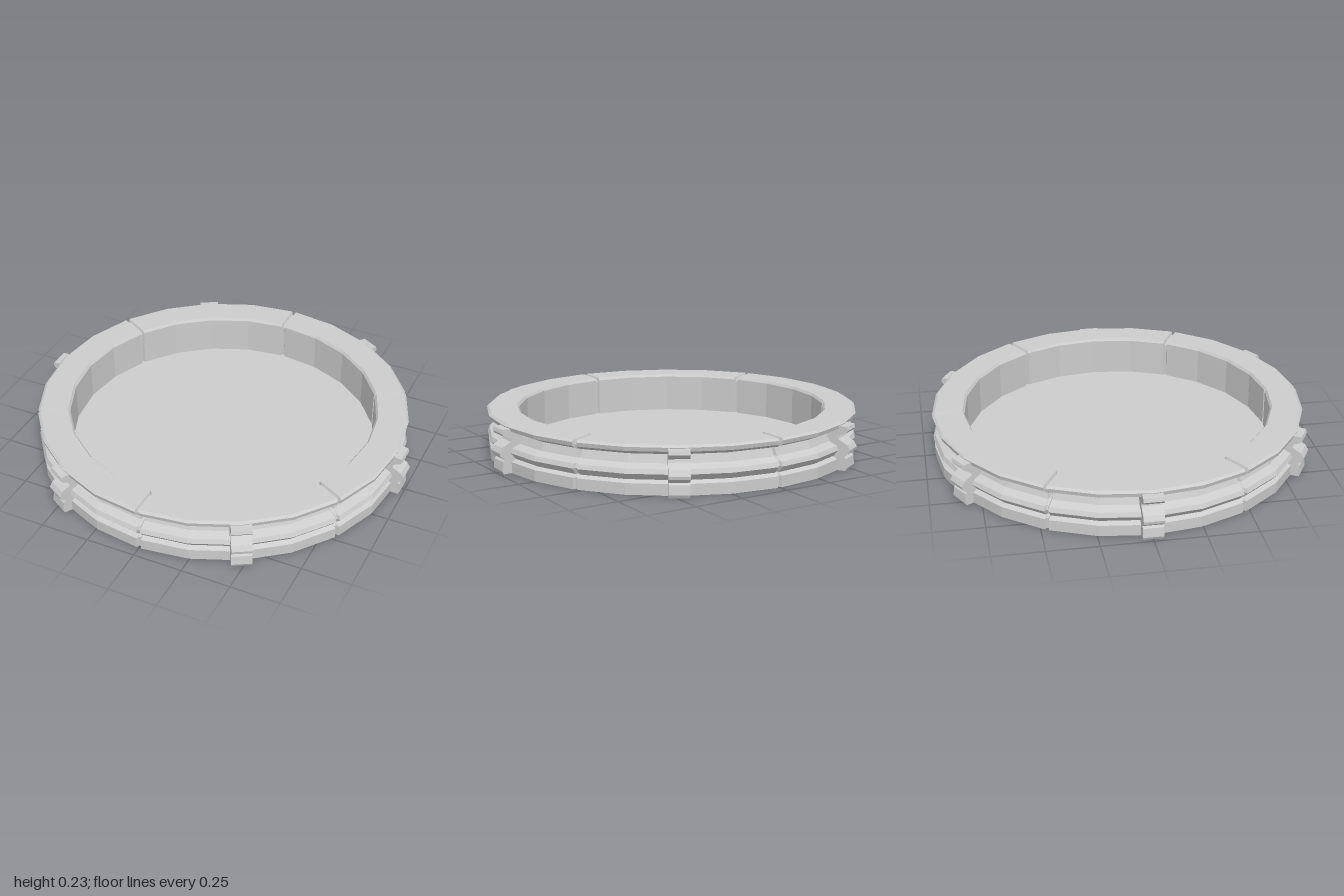
import * as THREE from 'three';

const material = new THREE.MeshStandardMaterial({ color: 0xcccccc, flatShading: true, side: THREE.DoubleSide });
const rad = THREE.MathUtils.degToRad;
const FLOOR_Y = 0.03;

// Ring section [radius, y], from the outer foot over the rim to the inner wall
const section = [
  [0.945, 0], [0.945, 0.055], [0.922, 0.068], [0.95, 0.1], [0.94, 0.122], [0.9, 0.14],
  [0.885, 0.18], [0.945, 0.205], [0.95, 0.225], [0.938, 0.235],
  [0.795, 0.235], [0.785, 0.222], [0.785, FLOOR_Y],
];
// Same section pulled in on all sides, used at the bottom of each joint groove
const grooveSection = section.map(([r, y], i) => [
  r + (i < 10 ? -0.016 : 0.012),
  y > 0.2 ? y - 0.013 : y,
]);

// Joins cross-sections placed around the y axis
function loft(stations) {
  const positions = [], index = [], n = section.length;
  for (const { angle, profile } of stations) {
    for (const [r, y] of profile) positions.push(r * Math.cos(angle), y, -r * Math.sin(angle));
  }
  for (let s = 0; s < stations.length - 1; s++) {
    for (let i = 0; i < n - 1; i++) {
      const a = s * n + i, b = a + n;
      index.push(a, b, a + 1, b, b + 1, a + 1);
    }
  }
  const geometry = new THREE.BufferGeometry();
  geometry.setAttribute('position', new THREE.Float32BufferAttribute(positions, 3));
  geometry.setIndex(index);
  const flat = geometry.toNonIndexed();
  flat.computeVertexNormals();
  return flat;
}

// Clip side outline [radius, y]: stepped outside, hidden behind the ring inside
function clipGeometry() {
  const outline = [
    [0.91, 0], [0.98, 0], [0.988, 0.015], [0.982, 0.06], [0.972, 0.07], [0.997, 0.09], [1, 0.105],
    [0.985, 0.13], [0.94, 0.155], [0.935, 0.17], [0.975, 0.185], [0.988, 0.2], [0.982, 0.218],
    [0.93, 0.222], [0.87, 0.18], [0.88, 0.14], [0.91, 0.12],
  ];
  const shape = new THREE.Shape(outline.map(([r, y]) => new THREE.Vector2(r, y)));
  const width = 0.1;
  return new THREE.ExtrudeGeometry(shape, { depth: width, bevelEnabled: false }).translate(0, 0, -width / 2);
}

export function createModel() {
  const model = new THREE.Group();
  model.name = 'segmentedRingTray';

  // Six ring segments, faceted every 15 degrees, with narrow grooves between them
  const segment = loft([
    { angle: rad(-30), profile: grooveSection },
    { angle: rad(-29.7), profile: grooveSection },
    { angle: rad(-29.3), profile: section },
    { angle: rad(-15), profile: section },
    { angle: 0, profile: section },
    { angle: rad(15), profile: section },
    { angle: rad(29.3), profile: section },
    { angle: rad(29.7), profile: grooveSection },
    { angle: rad(30), profile: grooveSection },
  ]);
  const clip = clipGeometry();

  for (let i = 0; i < 6; i++) {
    const ringSegment = new THREE.Mesh(segment, material);
    ringSegment.name = `ringSegment${i + 1}`;
    ringSegment.rotation.y = rad(60 * i);

    // One clip at the middle of each segment
    const ringClip = new THREE.Mesh(clip, material);
    ringClip.name = `clip${i + 1}`;
    ringClip.rotation.y = rad(60 * i);
    model.add(ringSegment, ringClip);
  }

  // Floor disc inside the ring
  const floor = new THREE.Mesh(new THREE.CircleGeometry(0.797, 24), material);
  floor.name = 'floor';
  floor.rotation.x = -Math.PI / 2;
  floor.position.y = FLOOR_Y;
  model.add(floor);

  return model;
}
